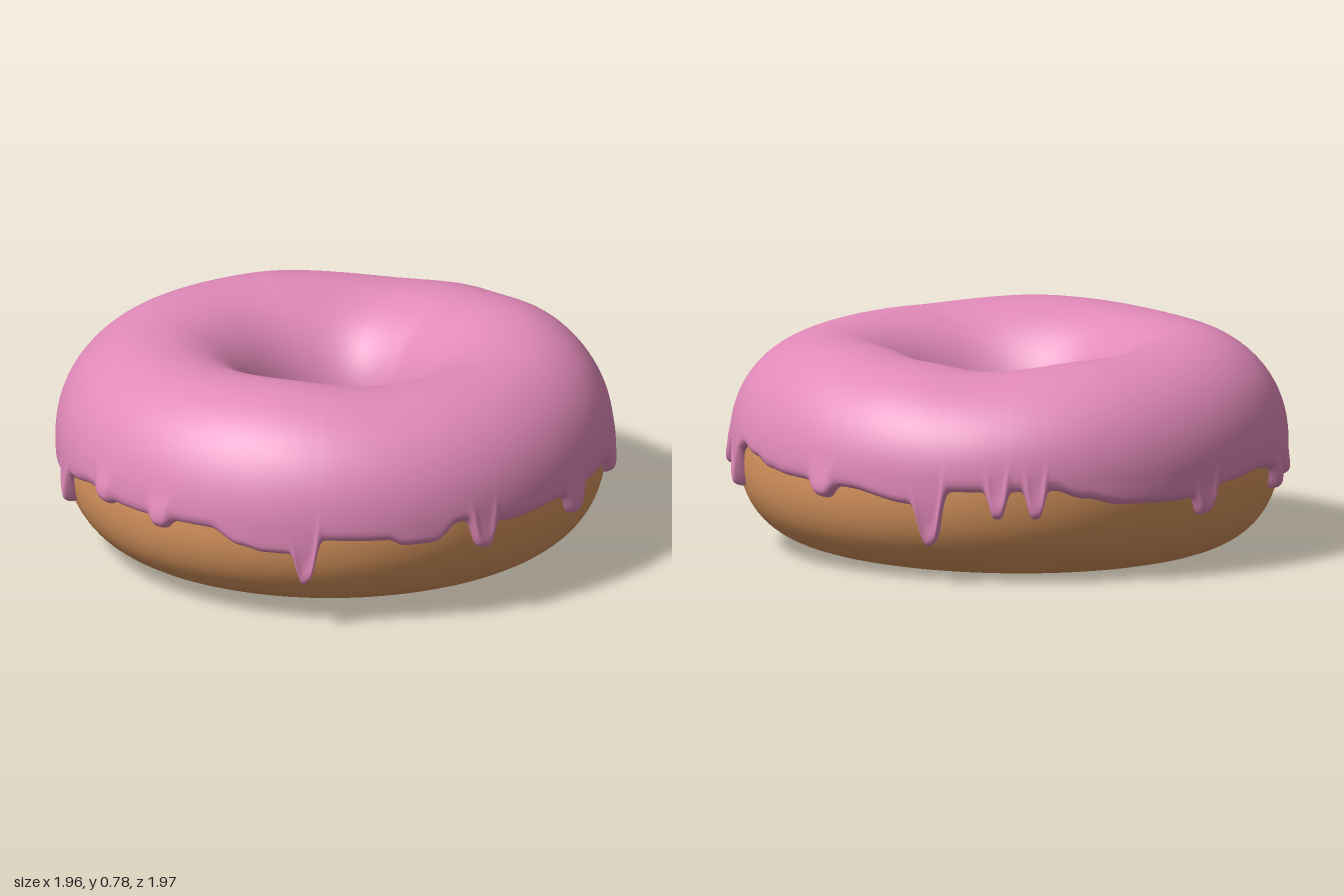
import * as THREE from 'three';

const RING = 0.62, MID = 0.375, RAD = Math.PI / 180;

// smooth interpolation of [degrees, value] knots around the ring
function around(knots, deg) {
  const n = knots.length;
  for (let i = 0; i < n; i++) {
    const [a0, v0] = knots[i];
    const [a1, v1] = i + 1 < n ? knots[i + 1] : [knots[0][0] + 360, knots[0][1]];
    if (deg >= a0 && deg < a1) {
      const f = (deg - a0) / (a1 - a0);
      return v0 + (v1 - v0) * f * f * (3 - 2 * f);
    }
  }
  return knots[0][1];
}

// uneven crown height
const CROWN = [[0, 0.757], [45, 0.745], [90, 0.755], [130, 0.78], [180, 0.757], [225, 0.745], [270, 0.735], [308, 0.705], [335, 0.73]];
// lower rim of the icing, without drips
const RIM = [
  [0, 0.345], [6, 0.37], [12, 0.395], [17, 0.355], [23, 0.35], [36, 0.345], [48, 0.345], [59, 0.345], [72, 0.335],
  [86, 0.37], [92, 0.31], [98, 0.31], [102, 0.335], [115, 0.34], [122, 0.285], [128, 0.285], [133, 0.3], [140, 0.35],
  [163, 0.34], [175, 0.355], [184, 0.33], [194, 0.29], [210, 0.28], [220, 0.305], [235, 0.33], [245, 0.315],
  [262, 0.275], [275, 0.28], [284, 0.31], [290, 0.34], [306, 0.335], [311, 0.335], [321, 0.285], [336, 0.325], [353, 0.335],
];
// drips: [degrees, tip height, half width in degrees]
const DRIPS = [
  [19, 0.235, 2.2], [30, 0.28, 2.8], [53, 0.265, 3], [80.5, 0.26, 2.7], [119, 0.18, 2.3], [152, 0.31, 2.6], [169, 0.325, 2.5],
  [189, 0.21, 2.2], [217, 0.265, 2.4], [224, 0.235, 2.3], [254, 0.215, 2.7], [294, 0.24, 2], [302, 0.24, 2],
  [316.5, 0.145, 2.8], [342, 0.28, 3],
];

// point of the dough section: t = 0 outside, 90 degrees top, 180 inside
function section(deg, t) {
  const c = Math.cos(t), s = Math.sin(t);
  const p = s >= 0 ? 0.96 : c > 0 ? 0.82 : 0.96;
  const half = s >= 0
    ? around(CROWN, deg) - 0.025 - MID
    : MID - 0.016 - 0.016 * Math.sin(deg * RAD);
  return [
    RING + 0.337 * Math.sign(c) * Math.abs(c) ** p,
    MID + half * Math.sign(s) * Math.abs(s) ** p,
  ];
}

// section point pushed out along its normal
function raised(deg, t, h) {
  const [r, y] = section(deg, t);
  const [r0, y0] = section(deg, t - 0.03), [r1, y1] = section(deg, t + 0.03);
  const dr = r1 - r0, dy = y1 - y0, len = Math.hypot(dr, dy);
  return [r + (dy / len) * h, y - (dr / len) * h];
}

// skin a ring of sections; profile(deg) returns a row of [radius, height]
function sweep(columns, closed, profile) {
  const pos = [], index = [];
  let rows = 0;
  for (let i = 0; i < columns; i++) {
    const deg = (i * 360) / columns, line = profile(deg);
    rows = line.length;
    for (const [r, y] of line) pos.push(r * Math.cos(deg * RAD), y, r * Math.sin(deg * RAD));
  }
  for (let i = 0; i < columns; i++) {
    const a = i * rows, b = ((i + 1) % columns) * rows;
    for (let j = 0; j < (closed ? rows : rows - 1); j++) {
      const k = (j + 1) % rows;
      index.push(a + j, a + k, b + j, a + k, b + k, b + j);
    }
  }
  const geo = new THREE.BufferGeometry();
  geo.setAttribute('position', new THREE.Float32BufferAttribute(pos, 3));
  geo.setIndex(index);
  geo.computeVertexNormals();
  return geo;
}

function doughProfile(deg) {
  return Array.from({ length: 64 }, (_, j) => section(deg, (j / 64) * Math.PI * 2));
}

function icingProfile(deg) {
  // rim height here, and how much of a drip this is
  let rim = around(RIM, deg), drip = 0;
  for (const [at, tip, width] of DRIPS) {
    const k = Math.exp(-(Math.abs((deg - at) / width) ** 3.5));
    rim += (tip - around(RIM, at)) * k;
    drip = Math.max(drip, k);
  }
  // section angle of the outer rim
  const below = rim < MID;
  const half = Math.abs(section(deg, below ? -Math.PI / 2 : Math.PI / 2)[1] - MID);
  const t0 = (below ? -1 : 1) * Math.asin((Math.abs(rim - MID) / half) ** (1 / (below ? 0.82 : 0.96)));
  const t1 = Math.PI + 0.07 * Math.sin(deg * RAD * 3) - 0.06;
  const lip = 0.075, line = [];
  const put = (t) => {
    const e = Math.min(1, Math.min(t - t0, t1 - t) / lip);
    const round = Math.sqrt(Math.max(0, 1 - (1 - e) ** 2));
    const bulge = 0.016 * drip * Math.exp(-(((t - t0 - 0.09) / 0.11) ** 2));
    line.push(raised(deg, t, -0.003 + (0.028 + bulge) * round));
  };
  // rounded outer lip, body, rounded inner lip
  for (let j = 0; j < 6; j++) put(t0 + lip * (1 - Math.cos((j / 6) * Math.PI / 2)));
  for (let j = 0; j <= 34; j++) put(t0 + lip + (t1 - t0 - 2 * lip) * (j / 34) ** 1.3);
  for (let j = 5; j >= 0; j--) put(t1 - lip * (1 - Math.cos((j / 6) * Math.PI / 2)));
  return line;
}

export function createModel() {
  const model = new THREE.Group();
  model.name = 'doughnut';

  const doughColour = new THREE.MeshStandardMaterial({ color: 0xdc9860 });
  doughColour.name = 'golden dough';
  const icingColour = new THREE.MeshStandardMaterial({ color: 0xe28aba });
  icingColour.name = 'pink icing';

  const dough = new THREE.Mesh(sweep(180, true, doughProfile), doughColour);
  dough.name = 'dough';
  const icing = new THREE.Mesh(sweep(900, false, icingProfile), icingColour);
  icing.name = 'icing';

  model.add(dough, icing);
  return model;
}
